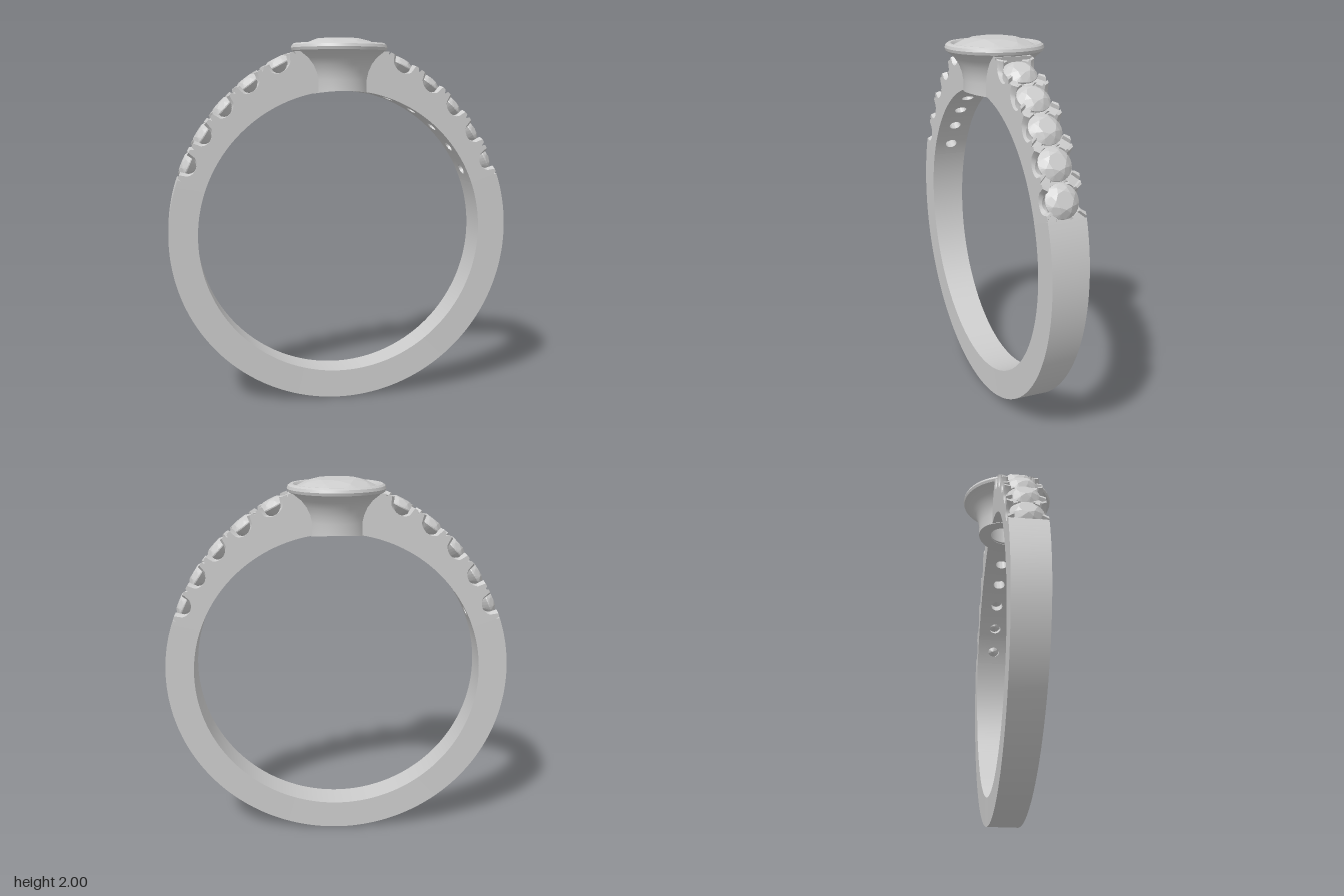
import * as THREE from 'three';
import { toCreasedNormals } from 'three/addons/utils/BufferGeometryUtils.js';
import { ConvexGeometry } from 'three/addons/geometries/ConvexGeometry.js';

const CY = 0.94;          // height of the ring's centre
const RI = 0.785;         // finger hole radius
const HALF_W = 0.1;       // half width of the band at the shoulders
const ARC = 0.95;         // radius at which arc lengths on the band are measured
const RAD = Math.PI / 180;
const STEP = 11.1;        // degrees between small stones
const FIRST = 25.5;       // elevation of the lowest small stone
const START = FIRST - STEP / 2;
const END = START + 5 * STEP;

// Outer radius: round below, swelling towards the flat-topped shoulders
function outerR(theta) {
  const s = Math.sin(theta);
  const e = Math.asin(s) / RAD;
  const t = Math.max(0, (e - 20) / 55);
  const r = 0.94 + 0.08 * Math.pow(t, 1.7);
  return s > 0.5 ? Math.min(r, 0.99 / s) : r;
}

const polar = (r, theta, z) => [r * Math.cos(theta), CY + r * Math.sin(theta), z];

// Skin a list of closed rings of points
function loft(rings, capped = false) {
  const n = rings[0].length, index = [];
  for (let k = 0; k < rings.length - 1; k++) {
    for (let i = 0; i < n; i++) {
      const j = (i + 1) % n;
      const a = k * n + i, b = k * n + j, c = b + n, d = a + n;
      index.push(a, b, c, a, c, d);
    }
  }
  if (capped) {
    const m = (rings.length - 1) * n;
    for (let i = 1; i < n - 1; i++) index.push(0, i + 1, i, m, m + i, m + i + 1);
  }
  const geo = new THREE.BufferGeometry();
  geo.setAttribute('position', new THREE.Float32BufferAttribute(rings.flat(2), 3));
  geo.setIndex(index);
  return toCreasedNormals(geo, 0.5);
}

// Plain lower band, slightly narrower at the bottom
function lowerBand() {
  const rings = [], n = 120;
  const from = (180 - START) * RAD, to = (360 + START) * RAD;
  for (let k = 0; k <= n; k++) {
    const th = from + (to - from) * k / n, R = outerR(th);
    const w = 0.085 + 0.015 * Math.min(1, (CY + R * Math.sin(th)) / 1.25);
    rings.push([polar(RI, th, w), polar(R, th, w), polar(R, th, -w), polar(RI, th, -w)]);
  }
  return loft(rings, true);
}

// Counter-clockwise outline of a rectangle, n points per side
function outline(a, b, n) {
  const c = [[-a, -b], [a, -b], [a, b], [-a, b]], pts = [];
  c.forEach((p, s) => {
    const q = c[(s + 1) % 4];
    for (let i = 0; i < n; i++) {
      pts.push([p[0] + (q[0] - p[0]) * i / n, p[1] + (q[1] - p[1]) * i / n]);
    }
  });
  return pts;
}

// A block of band with a hole drilled through; a seat adds scalloped sides and prongs
function drilledBlock(center, half, hole, seat) {
  const rect = outline(half, HALF_W, 20);
  const at = (u, v, r) => polar(r, center + u / ARC, v);
  const base = u => outerR(center + u / ARC);
  const top = (u, v) => {
    if (!seat) return base(u);
    if (Math.abs(v) > HALF_W - 1e-6) {
      const q = u / 0.064;
      if (Math.abs(q) < 1) return base(u) - 0.015 - 0.055 * Math.sqrt(1 - q * q);
    }
    if (Math.abs(u) > half - 1e-6) return base(u) - (Math.abs(v) < 0.04 ? 0.035 : 0.018);
    return base(u);
  };
  const circle = (rad, height) => rect.map(([u, v]) => {
    const a = Math.atan2(v, u), x = rad * Math.cos(a);
    return at(x, rad * Math.sin(a), height(u, v, x));
  });
  const inner = rect.map(([u, v]) => at(u, v, RI));
  const rings = [inner, rect.map(([u, v]) => at(u, v, top(u, v)))];
  if (seat) {
    rings.push(circle(0.089, top));
    rings.push(circle(0.084, (u, v, x) => Math.min(top(u, v), base(x) - 0.05)));
  }
  rings.push(circle(hole, (u, v, x) => base(x) - (seat ? 0.1 : 0)));
  rings.push(circle(hole, () => RI));
  for (const t of [0.33, 0.67]) {
    rings.push(rect.map(([u, v]) => {
      const a = Math.atan2(v, u);
      return at(hole * Math.cos(a) * (1 - t) + u * t, hole * Math.sin(a) * (1 - t) + v * t, RI);
    }));
  }
  rings.push(inner);
  return loft(rings);
}

// Round faceted stone: table, star ring, girdle and pointed pavilion
function stoneGeometry(r, crown, depth, tableR) {
  const pts = [new THREE.Vector3(0, -depth, 0)];
  const ring = (rad, y, n, turn) => {
    for (let i = 0; i < n; i++) {
      const a = (i + turn) / n * Math.PI * 2;
      pts.push(new THREE.Vector3(rad * Math.cos(a), y, rad * Math.sin(a)));
    }
  };
  ring(tableR, crown, 8, 0);
  ring((r + tableR) / 2, crown * 0.66, 8, 0.5);
  ring(r, 0.003, 32, 0);
  ring(r, -0.003, 32, 0);
  ring(r * 0.55, -depth * 0.5, 8, 0.5);
  return new ConvexGeometry(pts);
}

// Flared cup with a rolled rim, its foot following the finger hole
function headGeometry() {
  const profile = [
    [0.095, 1.7], [0.13, 1.7], [0.165, 1.7], [0.165, 1.78], [0.172, 1.82], [0.187, 1.86],
    [0.21, 1.895], [0.245, 1.926], [0.257, 1.935], [0.262, 1.95], [0.257, 1.965],
    [0.245, 1.974], [0.23, 1.973], [0.217, 1.96], [0.2, 1.93], [0.095, 1.83], [0.095, 1.7],
  ].map(p => new THREE.Vector2(...p));
  const geo = new THREE.LatheGeometry(profile, 72);
  const pos = geo.attributes.position;
  for (let i = 0; i < pos.count; i++) {
    if (pos.getY(i) < 1.71) {
      const x = pos.getX(i);
      pos.setY(i, CY + Math.sqrt(RI * RI - x * x) - 0.003);
    }
  }
  return toCreasedNormals(geo, 0.6);
}

export function createModel() {
  const model = new THREE.Group();
  model.name = 'ring';
  const metal = new THREE.MeshStandardMaterial({ color: 0xcccccc });
  const gem = new THREE.MeshStandardMaterial({ color: 0xcccccc, flatShading: true });
  const add = (parent, name, geo, mat) => {
    const mesh = new THREE.Mesh(geo, mat);
    mesh.name = name;
    parent.add(mesh);
    return mesh;
  };

  // Band and the block under the head
  add(model, 'lowerBand', lowerBand(), metal);
  add(model, 'topBand', drilledBlock(Math.PI / 2, (90 - END) * RAD * ARC, 0.097, false), metal);

  // Five seated stones on each shoulder
  const smallStone = stoneGeometry(0.086, 0.036, 0.07, 0.045);
  for (const side of [1, -1]) {
    const shoulder = new THREE.Group();
    shoulder.name = side > 0 ? 'leftShoulder' : 'rightShoulder';
    model.add(shoulder);
    for (let i = 0; i < 5; i++) {
      const e = (FIRST + i * STEP) * RAD;
      const th = side > 0 ? e : Math.PI - e;
      add(shoulder, 'stoneSeat', drilledBlock(th, STEP / 2 * RAD * ARC, 0.035, true), metal);
      const slope = (outerR(th + 0.05) - outerR(th - 0.05)) / 0.1 / outerR(th);
      const stone = add(shoulder, 'smallStone', smallStone, gem);
      stone.position.set(...polar(outerR(th) - 0.03, th, 0));
      stone.rotation.z = th - Math.atan(slope) - Math.PI / 2;
    }
  }

  // Head and centre stone
  add(model, 'head', headGeometry(), metal);
  const centre = add(model, 'centreStone', stoneGeometry(0.217, 0.044, 0.155, 0.12), gem);
  centre.position.y = 1.956;
  return model;
}
